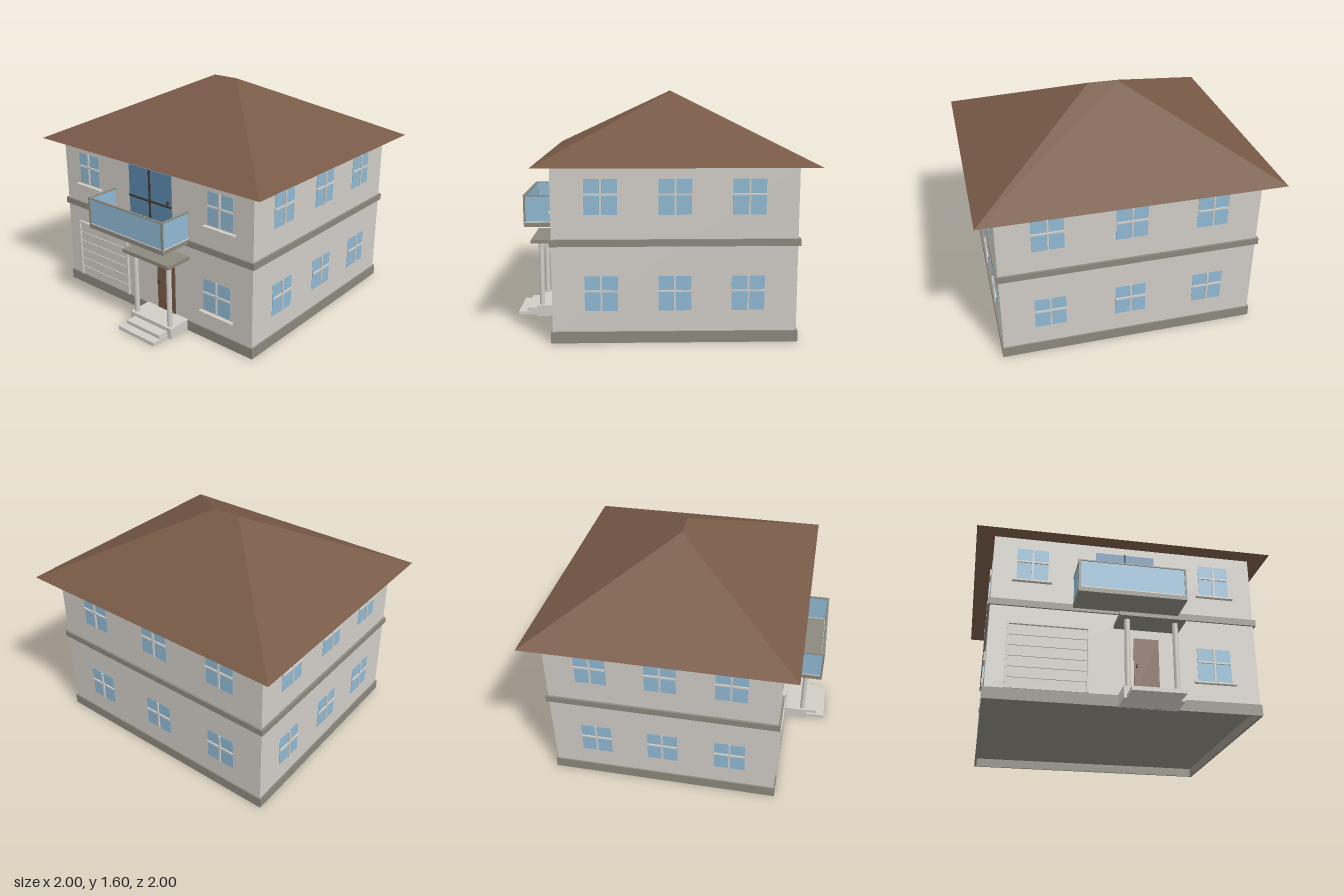
import * as THREE from 'three';

const paint = (name, color) => {
  const m = new THREE.MeshStandardMaterial({ color });
  m.name = name;
  return m;
};

export function createModel() {
  const wall = paint('plaster', 0xd0ccc6);
  const trim = paint('stone trim', 0x8b887d);
  const brown = paint('brown', 0x775946);
  const glass = paint('window glass', 0x8fb9d3);
  const blue = paint('balcony door blue', 0x5a86aa);
  const dark = paint('dark metal', 0x3f3630);

  const house = new THREE.Group();
  house.name = 'house';

  const add = (parent, name, geometry, material) => {
    const mesh = new THREE.Mesh(geometry, material);
    mesh.name = name;
    parent.add(mesh);
    return mesh;
  };
  // Box given by its limits on each axis
  const box = (parent, name, mat, x0, x1, y0, y1, z0, z1) => {
    const g = new THREE.BoxGeometry(x1 - x0, y1 - y0, z1 - z0);
    g.translate((x0 + x1) / 2, (y0 + y1) / 2, (z0 + z1) / 2);
    return add(parent, name, g, mat);
  };
  const group = (name) => {
    const g = new THREE.Group();
    g.name = name;
    house.add(g);
    return g;
  };

  // Walls, floor and storey band
  box(house, 'walls', wall, -0.88, 0.88, 0.07, 1.145, -0.88, 0.69);
  box(house, 'floor', trim, -0.88, 0.88, 0.062, 0.072, -0.88, 0.69);
  box(house, 'storeyBand', trim, -0.895, 0.895, 0.635, 0.68, -0.895, 0.703);

  // Hollow plinth ring
  const rect = (Type, x, z0, z1) => new Type([
    new THREE.Vector2(-x, -z1), new THREE.Vector2(x, -z1),
    new THREE.Vector2(x, -z0), new THREE.Vector2(-x, -z0)]);
  const ring = rect(THREE.Shape, 0.89, -0.89, 0.7);
  ring.holes.push(rect(THREE.Path, 0.875, -0.875, 0.685));
  const ringGeometry = new THREE.ExtrudeGeometry(ring, { depth: 0.075, bevelEnabled: false });
  ringGeometry.rotateX(-Math.PI / 2);
  add(house, 'plinth', ringGeometry, trim);

  // Hipped roof: four eave corners and two ridge ends
  const p = [[-1, 1.145, 0.8], [1, 1.145, 0.8], [1, 1.145, -1], [-1, 1.145, -1],
    [-0.1, 1.595, -0.1], [0.1, 1.595, -0.1]];
  const faces = [0, 1, 5, 0, 5, 4, 1, 2, 5, 2, 3, 4, 2, 4, 5, 3, 0, 4, 0, 3, 2, 0, 2, 1];
  const roofGeometry = new THREE.BufferGeometry();
  roofGeometry.setAttribute('position',
    new THREE.Float32BufferAttribute(faces.flatMap((i) => p[i]), 3));
  roofGeometry.computeVertexNormals();
  add(house, 'roof', roofGeometry, brown);

  // Window with cross bars, placed on a wall facing the given turn
  const makeWindow = (x, y, z, turn, width, sill) => {
    const w = group('window');
    const h = width / 2;
    box(w, 'pane', glass, -h, h, -0.114, 0.114, -0.002, 0.003);
    box(w, 'uprightBar', wall, -0.006, 0.006, -0.114, 0.114, 0.003, 0.013);
    box(w, 'crossBar', wall, -h, h, 0.01, 0.022, 0.003, 0.013);
    if (sill) box(w, 'sill', wall, -h - 0.026, h + 0.026, -0.135, -0.123, 0, 0.028);
    w.position.set(x, y, z);
    w.rotation.y = turn;
  };
  for (const y of [0.327, 0.951]) {
    for (const z of [0.375, -0.095, -0.565]) {
      for (const s of [-1, 1]) makeWindow(s * 0.88, y, z, s * Math.PI / 2, 0.212, false);
    }
    for (const x of [-0.55, 0, 0.55]) makeWindow(x, y, -0.88, Math.PI, 0.212, false);
  }
  makeWindow(-0.62, 0.951, 0.69, 0, 0.206, true);
  makeWindow(0.615, 0.951, 0.69, 0, 0.206, true);
  makeWindow(0.587, 0.327, 0.69, 0, 0.228, true);

  // Garage door: frame and six panels
  const garage = group('garageDoor');
  box(garage, 'frameLeft', wall, -0.252, -0.24, 0.075, 0.52, 0.69, 0.708);
  box(garage, 'frameRight', wall, -0.765, -0.753, 0.075, 0.52, 0.69, 0.708);
  box(garage, 'frameTop', wall, -0.753, -0.252, 0.508, 0.52, 0.69, 0.708);
  for (let i = 0; i < 6; i++) {
    const y = 0.078 + i * 0.0717;
    box(garage, 'panel', wall, -0.75, -0.255, y, y + 0.067, 0.69, 0.698);
  }

  // Balcony door
  const balconyDoor = group('balconyDoor');
  box(balconyDoor, 'doorGlass', blue, -0.2, 0.2, 0.68, 1.09, 0.688, 0.695);
  box(balconyDoor, 'uprightBar', dark, -0.006, 0.006, 0.68, 1.09, 0.695, 0.704);
  box(balconyDoor, 'crossBar', dark, -0.2, 0.2, 0.862, 0.874, 0.695, 0.704);
  box(balconyDoor, 'handle', dark, 0.165, 0.177, 0.885, 0.905, 0.695, 0.712);

  // Balcony: slab, glass panels, posts and rails
  const balcony = group('balcony');
  box(balcony, 'slab', trim, -0.35, 0.35, 0.655, 0.685, 0.69, 0.94);
  box(balcony, 'frontGlass', glass, -0.345, 0.345, 0.69, 0.872, 0.93, 0.936);
  box(balcony, 'frontRail', trim, -0.352, 0.352, 0.872, 0.88, 0.927, 0.942);
  box(balcony, 'frontFoot', wall, -0.35, 0.35, 0.685, 0.692, 0.927, 0.94);
  for (const s of [-1, 1]) {
    const x = s * 0.343;
    box(balcony, 'sideGlass', glass, x - 0.003, x + 0.003, 0.69, 0.872, 0.7, 0.93);
    box(balcony, 'sideRail', trim, x - 0.007, x + 0.007, 0.872, 0.88, 0.69, 0.93);
    box(balcony, 'sideFoot', wall, x - 0.006, x + 0.006, 0.685, 0.692, 0.69, 0.93);
    box(balcony, 'post', trim, x - 0.007, x + 0.007, 0.685, 0.873, 0.928, 0.941);
  }

  // Entrance: door, porch, columns, canopy and steps
  const entrance = group('entrance');
  box(entrance, 'frontDoor', brown, 0.05, 0.215, 0.075, 0.475, 0.688, 0.696);
  box(entrance, 'doorHandle', dark, 0.062, 0.072, 0.268, 0.292, 0.696, 0.71);
  box(entrance, 'porch', wall, -0.055, 0.33, 0, 0.077, 0.68, 0.865);
  box(entrance, 'upperStep', wall, -0.018, 0.295, 0.025, 0.05, 0.865, 0.94);
  box(entrance, 'lowerStep', wall, -0.035, 0.3, 0, 0.025, 0.865, 1);
  box(entrance, 'canopy', trim, -0.08, 0.35, 0.535, 0.56, 0.69, 0.895);
  for (const x of [-0.022, 0.29]) {
    const column = add(entrance, 'column', new THREE.CylinderGeometry(0.018, 0.018, 0.46, 20), wall);
    column.position.set(x, 0.306, 0.83);
  }

  return house;
}
